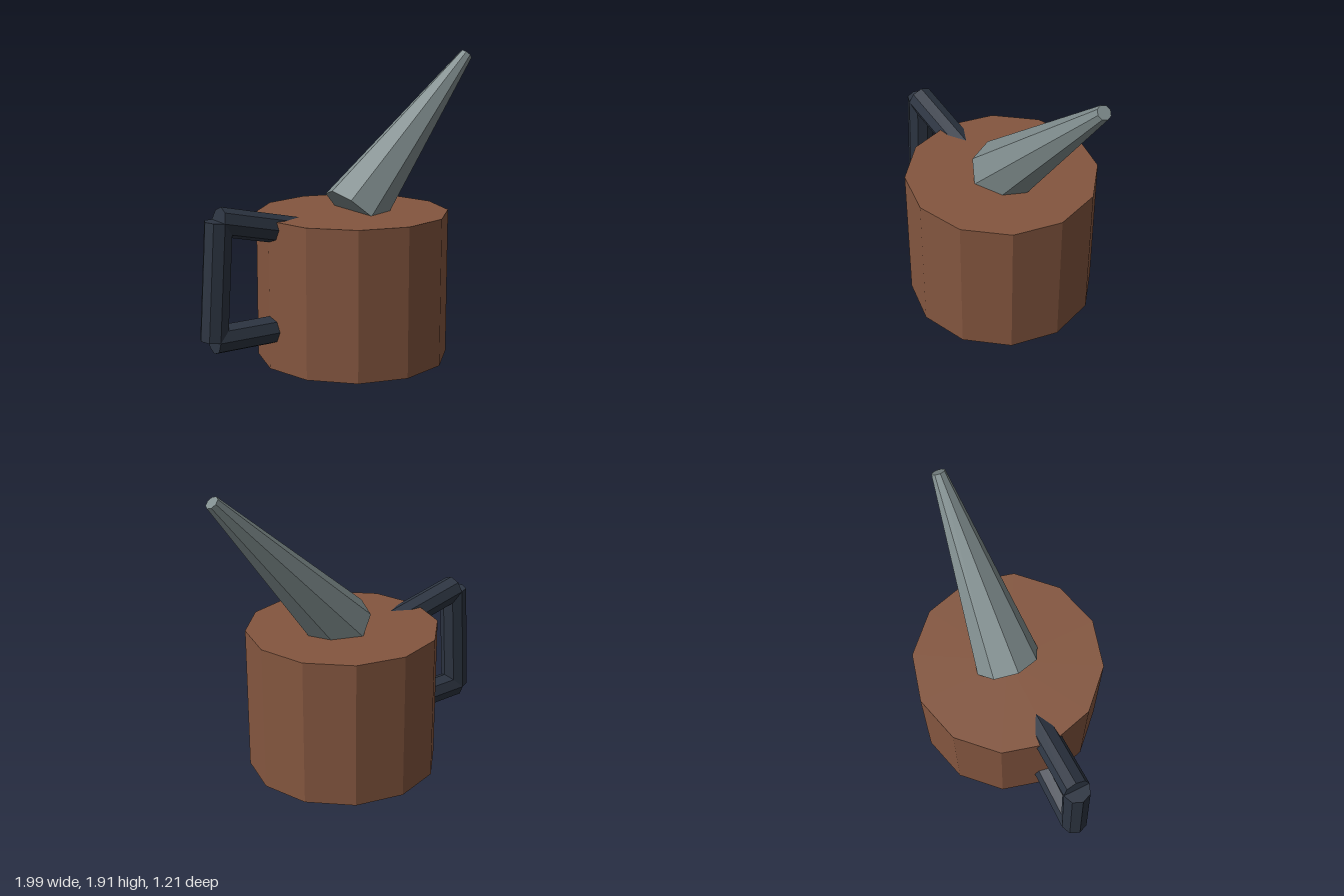
import * as THREE from 'three';

const flat = (name, color) => {
  const m = new THREE.MeshStandardMaterial({ color, flatShading: true });
  m.name = name;
  return m;
};

// Tapered octagonal rod between two points in the z = 0 plane
function rod(name, from, to, rFrom, rTo, material) {
  const a = new THREE.Vector3(from[0], from[1], 0);
  const b = new THREE.Vector3(to[0], to[1], 0);
  const dir = b.clone().sub(a);
  const mesh = new THREE.Mesh(new THREE.CylinderGeometry(rTo, rFrom, dir.length(), 8), material);
  mesh.position.copy(a).add(b).multiplyScalar(0.5);
  mesh.rotation.z = Math.atan2(dir.y, dir.x) - Math.PI / 2;
  mesh.name = name;
  return mesh;
}

export function createModel() {
  const group = new THREE.Group();
  group.name = 'wateringCan';
  const brown = flat('brown', 0x84563f);
  const grey = flat('grey', 0x7f8c8d);
  const navy = flat('navy', 0x2d3542);

  // Twelve-sided body
  const body = new THREE.Mesh(new THREE.CylinderGeometry(0.606, 0.606, 0.93, 12), brown);
  body.position.set(0.07, 0.465, 0);
  body.name = 'body';
  group.add(body);

  // Spout leaning out from the middle of the top
  group.add(rod('spout', [0.072, 0.925], [0.963, 1.883], 0.21, 0.043, grey));

  // Handle of three straight bars
  const handle = new THREE.Group();
  handle.name = 'handle';
  const r = 0.0875;
  const top = [-0.868, 0.962], bottom = [-0.912, 0.248];
  handle.add(
    rod('handleTopBar', top, [-0.33, 0.842], r, r, navy),
    rod('handleGrip', bottom, top, r, r, navy),
    rod('handleBottomBar', bottom, [-0.42, 0.248], r, r, navy)
  );
  group.add(handle);
  return group;
}
